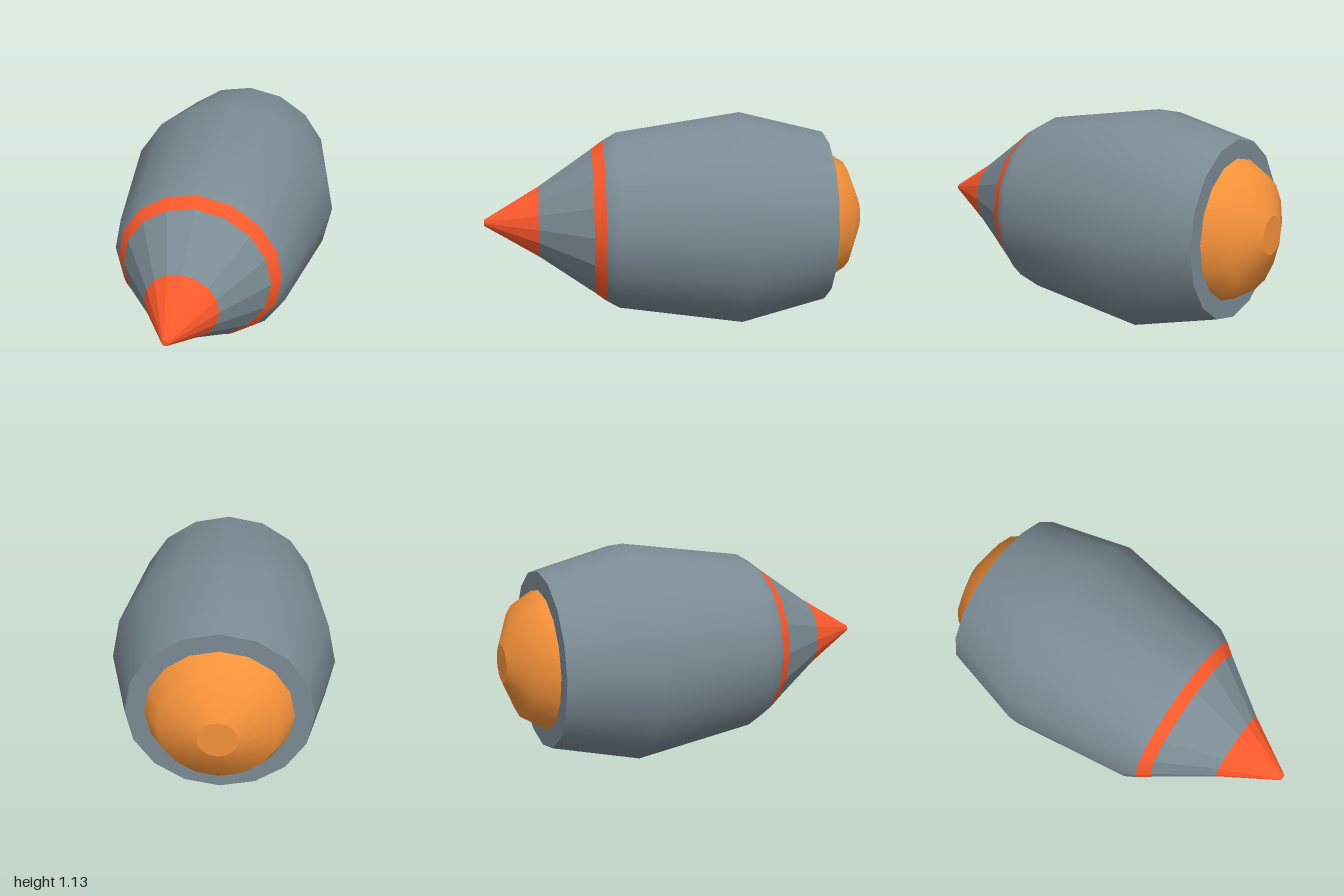
import * as THREE from 'three';

const SIDES = 16;
const AXIS_Y = 0.57;
const GREY = 0x7b8b94, RED = 0xff5a2c, ORANGE = 0xf6923a;

// Turned part along z: profile is [radius, z] pairs running from back to front
function turned(name, color, profile, flatShading = false) {
  const points = profile.map(([r, z]) => new THREE.Vector2(r, z));
  const geometry = new THREE.LatheGeometry(points, SIDES);
  geometry.rotateX(Math.PI / 2);
  const mesh = new THREE.Mesh(geometry, new THREE.MeshStandardMaterial({ color, flatShading }));
  mesh.name = name;
  mesh.position.y = AXIS_Y;
  return mesh;
}

export function createModel() {
  const group = new THREE.Group();
  group.name = 'capsule';

  group.add(
    // Nose: blunt pointed tip, grey cone and painted stripe
    turned('noseTipCap', RED, [[0.016, 1], [0, 1]]),
    turned('noseTip', RED, [[0.19, 0.71], [0.016, 1]], true),
    turned('noseCone', GREY, [[0.385, 0.43], [0.19, 0.71]], true),
    turned('stripe', RED, [[0.43, 0.37], [0.385, 0.43]]),

    // Barrel-shaped hull with a flat back
    turned('hull', GREY, [[0.455, -0.8], [0.567, -0.35], [0.47, 0.3], [0.43, 0.37]]),
    turned('hullBack', GREY, [[0, -0.8], [0.455, -0.8]]),

    // Rear dome with a small flat end
    turned('rearDome', ORANGE, [[0.098, -1], [0.29, -0.917], [0.36, -0.8]]),
    turned('rearDomeEnd', ORANGE, [[0, -1], [0.098, -1]]),
  );
  return group;
}
